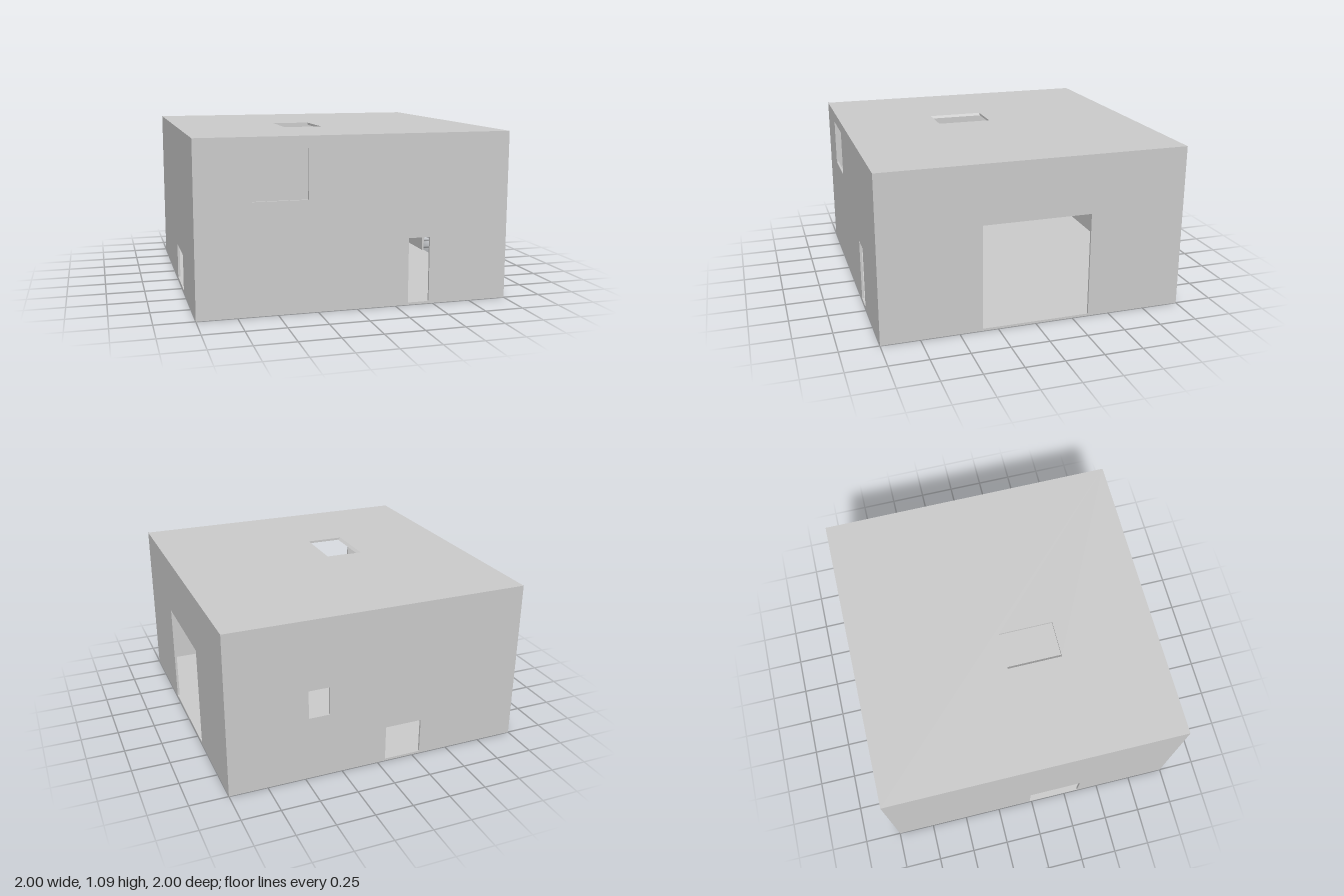
import * as THREE from 'three';

const H = 1.085, T = 0.015; // overall height, panel thickness
const material = new THREE.MeshStandardMaterial({ color: 0xcccccc });

// Flat panel in (u, v); notches are [u0, u1, top] cut from the lower edge,
// windows are [u0, u1, v0, v1] cut through the middle.
function panel(name, half, v0, v1, notches, windows) {
  const shape = new THREE.Shape();
  shape.moveTo(-half, v0);
  for (const [a, b, top] of notches) {
    shape.lineTo(a, v0);
    shape.lineTo(a, top);
    shape.lineTo(b, top);
    shape.lineTo(b, v0);
  }
  shape.lineTo(half, v0);
  shape.lineTo(half, v1);
  shape.lineTo(-half, v1);
  shape.closePath();
  for (const [a, b, c, d] of windows) {
    const hole = new THREE.Path();
    hole.moveTo(a, c);
    hole.lineTo(a, d);
    hole.lineTo(b, d);
    hole.lineTo(b, c);
    hole.closePath();
    shape.holes.push(hole);
  }
  const geometry = new THREE.ExtrudeGeometry(shape, { depth: T, bevelEnabled: false });
  const mesh = new THREE.Mesh(geometry, material);
  mesh.name = name;
  return mesh;
}

export function createModel() {
  const model = new THREE.Group();
  model.name = 'hollowHouse';

  // floor slab
  const floor = new THREE.Mesh(new THREE.BoxGeometry(2, T, 2), material);
  floor.name = 'floor';
  floor.position.y = T / 2;

  // front wall: narrow door and high window
  const front = panel('frontWall', 1, T, H - T, [[0.335, 0.475, 0.43]], [[-0.655, -0.31, 0.70, 1.01]]);
  front.position.z = 1 - T;

  // back wall: low opening and small window
  const back = panel('backWall', 1, T, H - T, [[-0.305, -0.055, 0.25]], [[0.335, 0.475, 0.43, 0.62]]);
  back.position.z = -1;

  // side walls: large gateway on +x, low opening on -x
  const gate = panel('gatewayWall', 1 - T, T, H - T, [[-0.36, 0.35, 0.70]], []);
  gate.rotation.y = -Math.PI / 2;
  gate.position.x = 1;
  const low = panel('lowOpeningWall', 1 - T, T, H - T, [[-0.015, 0.35, 0.255]], []);
  low.rotation.y = -Math.PI / 2;
  low.position.x = -1 + T;

  // roof with skylight
  const roof = panel('roof', 1, -1, 1, [], [[-0.305, -0.055, -0.02, 0.345]]);
  roof.rotation.x = Math.PI / 2;
  roof.position.y = H;

  // sloped lip along one edge of the skylight
  const lipShape = new THREE.Shape([
    new THREE.Vector2(-0.305, H - T),
    new THREE.Vector2(-0.288, H - T),
    new THREE.Vector2(-0.305, H),
  ]);
  const lip = new THREE.Mesh(
    new THREE.ExtrudeGeometry(lipShape, { depth: 0.365, bevelEnabled: false }), material);
  lip.name = 'skylightLip';
  lip.position.z = -0.02;

  model.add(floor, front, back, gate, low, roof, lip);
  return model;
}
